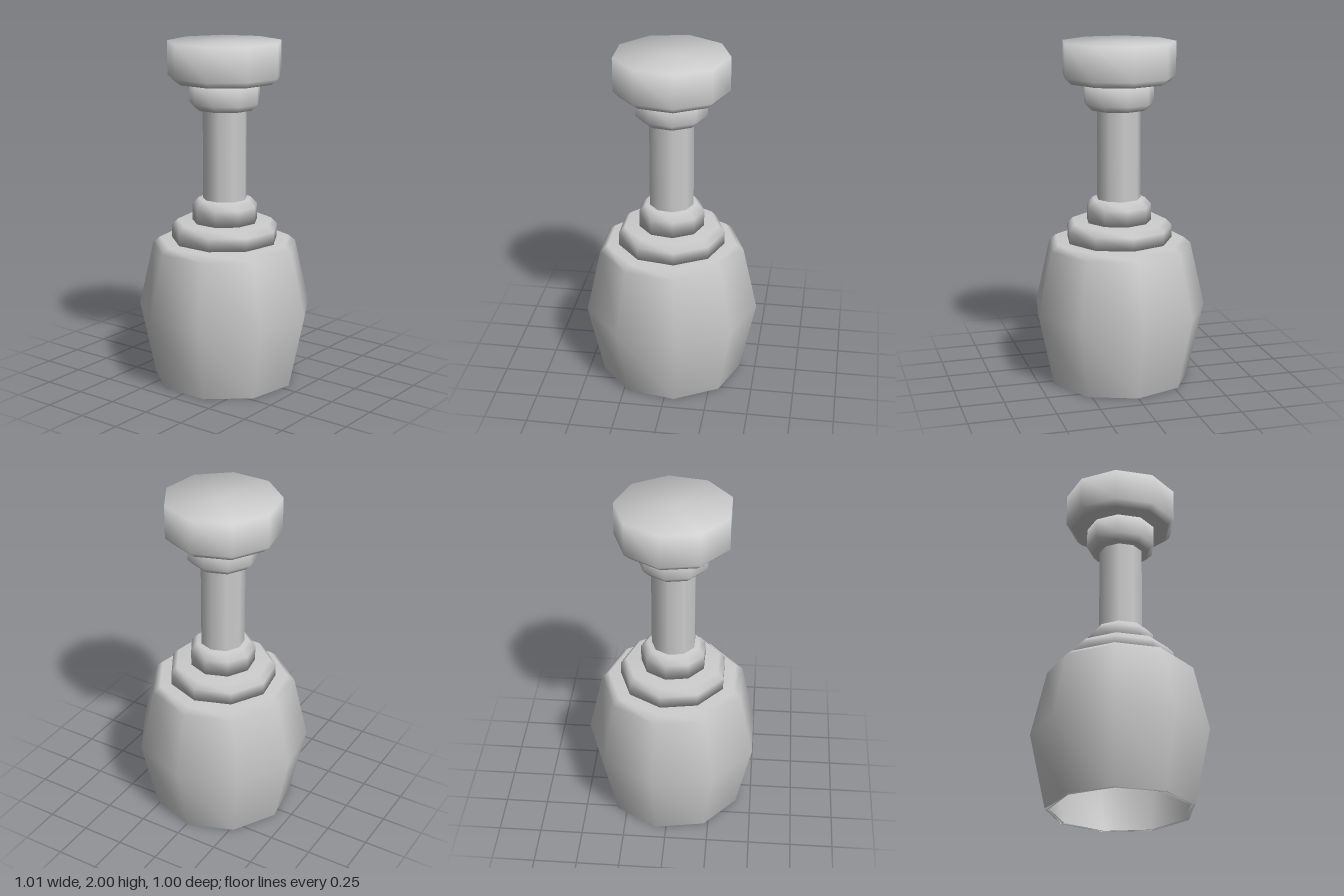
import * as THREE from 'three';

const SIDES = 9;

export function createModel() {
  const group = new THREE.Group();
  const material = new THREE.MeshStandardMaterial({ color: 0xcccccc });

  // Nine-sided turned part; profile is [radius, height] from bottom to top, one corner at the back
  function turned(name, profile) {
    const points = profile.map(([r, y]) => new THREE.Vector2(r, y));
    const mesh = new THREE.Mesh(new THREE.LatheGeometry(points, SIDES, Math.PI), material);
    mesh.name = name;
    group.add(mesh);
  }

  // Hollow shade: inner wall down to the rim, then the outer wall up
  turned('shade', [
    [0, 0.81], [0.37, 0.81], [0.405, 0.79], [0.49, 0.43], [0.395, 0],
    [0.42, 0], [0.513, 0.43], [0.427, 0.81], [0.385, 0.845], [0, 0.845],
  ]);

  // Bulb hanging inside the shade
  turned('bulb', [
    [0, 0.2], [0.05, 0.21], [0.09, 0.26], [0.1, 0.34], [0.085, 0.44], [0.06, 0.54], [0.06, 0.81],
  ]);

  // Stepped rings on top of the shade
  turned('lowerRing', [[0, 0.845], [0.314, 0.845], [0.314, 0.92], [0.28, 0.956], [0, 0.956]]);
  turned('upperRing', [[0, 0.956], [0.192, 0.956], [0.192, 1.05], [0.155, 1.09], [0, 1.09]]);

  // Stem up to the ceiling mount
  turned('stem', [[0.129, 1.09], [0.129, 1.615]]);
  turned('collar', [[0, 1.615], [0.17, 1.615], [0.205, 1.65], [0.205, 1.77], [0, 1.77]]);
  turned('ceilingMount', [[0, 1.77], [0.295, 1.77], [0.332, 1.805], [0.332, 2], [0, 2]]);

  // Centre the odd-sided outline in depth
  group.children.forEach((part) => { part.position.z = 0.0155; });
  return group;
}
